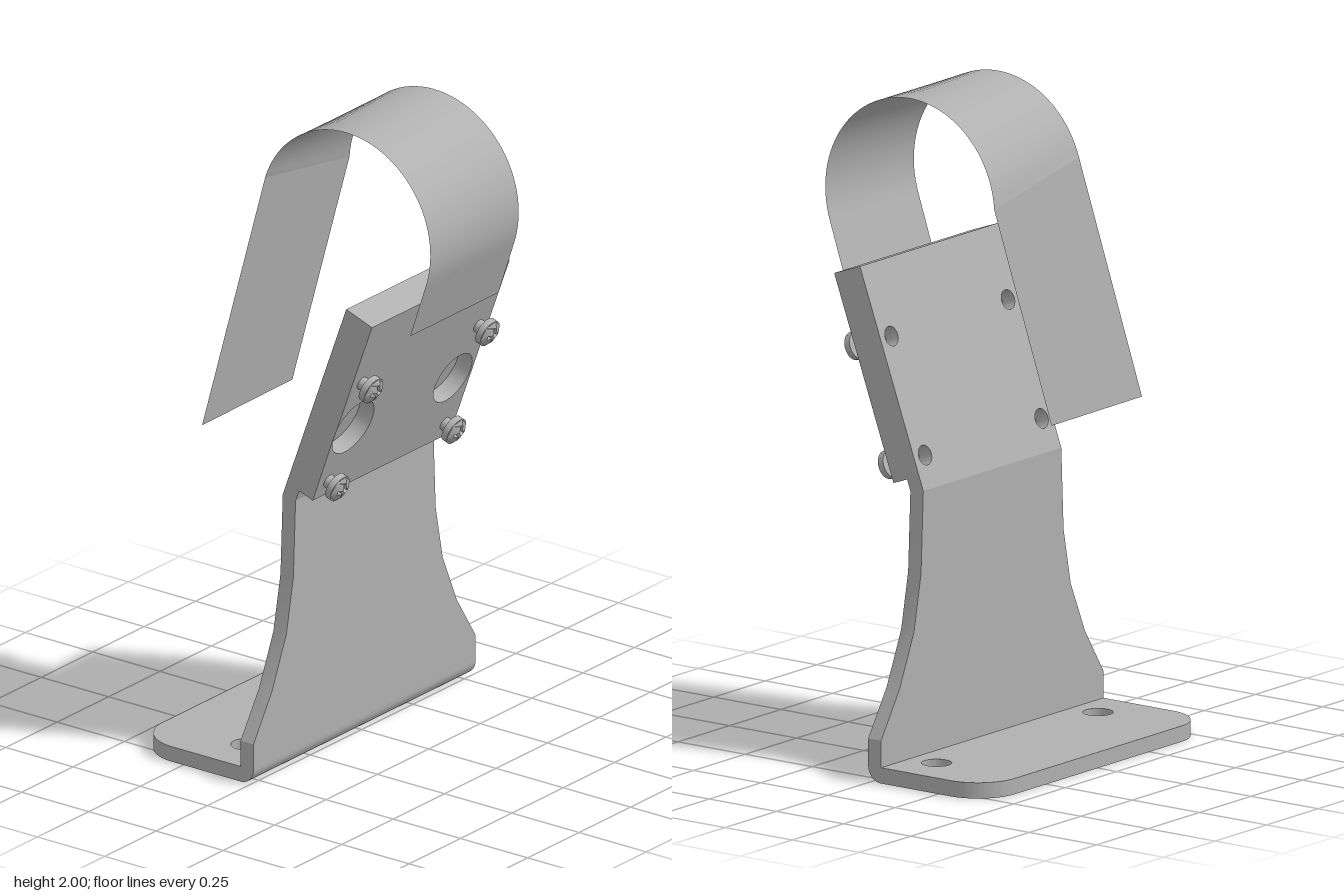
import * as THREE from 'three';
import { toCreasedNormals } from 'three/addons/utils/BufferGeometryUtils.js';

const T = 0.048;            // sheet thickness
const X0 = -0.037;          // back face of the upright
const LEAN = THREE.MathUtils.degToRad(20);

const metal = new THREE.MeshStandardMaterial({ color: 0xb0b0b0 });
metal.name = 'grey metal';
const sheet = metal.clone();
sheet.name = 'grey metal';
sheet.side = THREE.DoubleSide;

function add(parent, name, geometry, material = metal) {
  const mesh = new THREE.Mesh(geometry, material);
  mesh.name = name;
  parent.add(mesh);
  return mesh;
}

function outline(points, circles = []) {
  const shape = new THREE.Shape(points.map(([a, b]) => new THREE.Vector2(a, b)));
  circles.forEach(([a, b, r]) => shape.holes.push(new THREE.Path().absarc(a, b, r, 0, Math.PI * 2, true)));
  return shape;
}

const extrude = (shape, depth) =>
  new THREE.ExtrudeGeometry(shape, { depth, bevelEnabled: false, curveSegments: 24 });

// Slab whose outline lies in the z-y plane, spanning x0 to x1
function slab(shape, x0, x1) {
  return toCreasedNormals(extrude(shape, x1 - x0).rotateY(-Math.PI / 2).translate(x1, 0, 0), 0.4);
}

const rectangle = (w, y0, y1) => [[-w, y0], [w, y0], [w, y1], [-w, y1]];

// Foot plate with two rounded corners and two bolt holes
function footGeometry() {
  const x = -0.43, w = 0.54, r = 0.135;
  const s = new THREE.Shape();
  s.moveTo(X0, -w);
  s.lineTo(X0, w);
  s.lineTo(x + r, w);
  s.absarc(x + r, w - r, r, Math.PI / 2, Math.PI, false);
  s.absarc(x + r, -w + r, r, Math.PI, Math.PI * 1.5, false);
  for (const z of [-0.392, 0.392])
    s.holes.push(new THREE.Path().absarc(-0.13, z, 0.045, 0, Math.PI * 2, true));
  return toCreasedNormals(extrude(s, T).rotateX(Math.PI / 2).translate(0, T, 0), 0.4);
}

// Rounded bend between foot and upright
function bendGeometry() {
  const s = new THREE.Shape();
  s.moveTo(X0, T);
  s.lineTo(X0, 0);
  s.absarc(X0, T, T, -Math.PI / 2, 0, false);
  return toCreasedNormals(extrude(s, 1.08).translate(0, 0, -0.54), 0.4);
}

// Pan-head screw along +x, with a cross recess
function makeScrew() {
  const screw = new THREE.Group();
  screw.name = 'screw';
  const rod = (r, a, b) => new THREE.CylinderGeometry(r, r, b - a, 28)
    .rotateZ(-Math.PI / 2).translate((a + b) / 2, 0, 0);
  add(screw, 'screwShank', rod(0.021, 0.05, 0.13));
  add(screw, 'screwHeadBase', rod(0.043, 0.128, 0.142));

  const cap = new THREE.Shape().absarc(0, 0, 0.043, 0, Math.PI * 2, false);
  const a = 0.026, b = 0.006;
  cap.holes.push(new THREE.Path([[a, b], [b, b], [b, a], [-b, a], [-b, b], [-a, b],
    [-a, -b], [-b, -b], [-b, -a], [b, -a], [b, -b], [a, -b]].map(p => new THREE.Vector2(...p))));
  const geo = extrude(cap, 0.027).rotateY(-Math.PI / 2).translate(0.167, 0, 0);
  // Dome the outer face: height falls with the square of the radius
  const p = geo.attributes.position;
  for (let i = 0; i < p.count; i++) {
    const r2 = p.getY(i) ** 2 + p.getZ(i) ** 2;
    if (p.getX(i) > 0.15) p.setX(i, p.getX(i) - 10 * r2);
  }
  add(screw, 'screwHeadDome', toCreasedNormals(geo, 0.5));
  return screw;
}

// Thin hooked strap: hanging tail, round arch and a slanted free end
function strapGeometry() {
  const cx = 0.105, cy = 1.685, r = 0.315, w = 0.215, n = 48;
  const rad = THREE.MathUtils.degToRad;
  const rows = [[[0.345, 1.41, -w], [0.345, 1.41, w]]];
  const at = (deg, z) => [cx + r * Math.cos(rad(deg)), cy + r * Math.sin(rad(deg)), z];
  for (let i = 0; i <= n; i++) {
    const t = i / n;
    // the back edge runs further round the arch than the front edge
    rows.push([at(-20 + t * 196, -w), at(-20 + t * 182, w)]);
  }
  const fold = rows[rows.length - 1];
  const tail = [fold, [[-0.292, 1.03, -0.045], [-0.286, 1.03, 0.402]]];
  const build = list => {
    const g = new THREE.BufferGeometry();
    const index = [];
    for (let i = 0; i < list.length - 1; i++) {
      const k = i * 2;
      index.push(k, k + 2, k + 1, k + 1, k + 2, k + 3);
    }
    g.setAttribute('position', new THREE.Float32BufferAttribute(list.flat(2), 3));
    g.setIndex(index);
    g.computeVertexNormals();
    return g;
  };
  return { arch: build(rows), tail: build(tail) };
}

export function createModel() {
  const model = new THREE.Group();
  model.name = 'strapBracket';

  add(model, 'footPlate', footGeometry());
  add(model, 'footBend', bendGeometry());

  // Upright that narrows from the foot to the leaning plate
  const side = [[0.54, T], [0.54, 0.13], [0.45, 0.27], [0.38, 0.43], [0.346, 0.6], [0.335, 0.85]];
  const mirrored = side.map(([z, y]) => [-z, y]).reverse();
  add(model, 'upright', slab(outline([...side, ...mirrored]), X0, X0 + T));

  // Leaning head, built upright and tilted about the bend
  const head = new THREE.Group();
  head.name = 'leaningHead';
  head.position.set(X0, 0.85, 0);
  head.rotation.z = -LEAN;
  model.add(head);

  const screws = [];
  for (const y of [0.1, 0.465]) for (const z of [-0.282, 0.284]) screws.push([z, y]);

  add(head, 'backPlate', slab(
    outline(rectangle(0.335, 0, 0.69), screws.map(([z, y]) => [z, y, 0.03])), 0, T));
  add(head, 'frontBlock', slab(
    outline(rectangle(0.335, 0.045, 0.69), [[0.245, 0.285, 0.093], [-0.24, 0.285, 0.086]]), T, 0.102));
  for (const [z, y] of screws) {
    const screw = makeScrew();
    screw.position.set(0, y, z);
    head.add(screw);
  }

  const strap = strapGeometry();
  add(model, 'strapArch', strap.arch, sheet);
  add(model, 'strapTail', strap.tail, sheet);
  return model;
}
